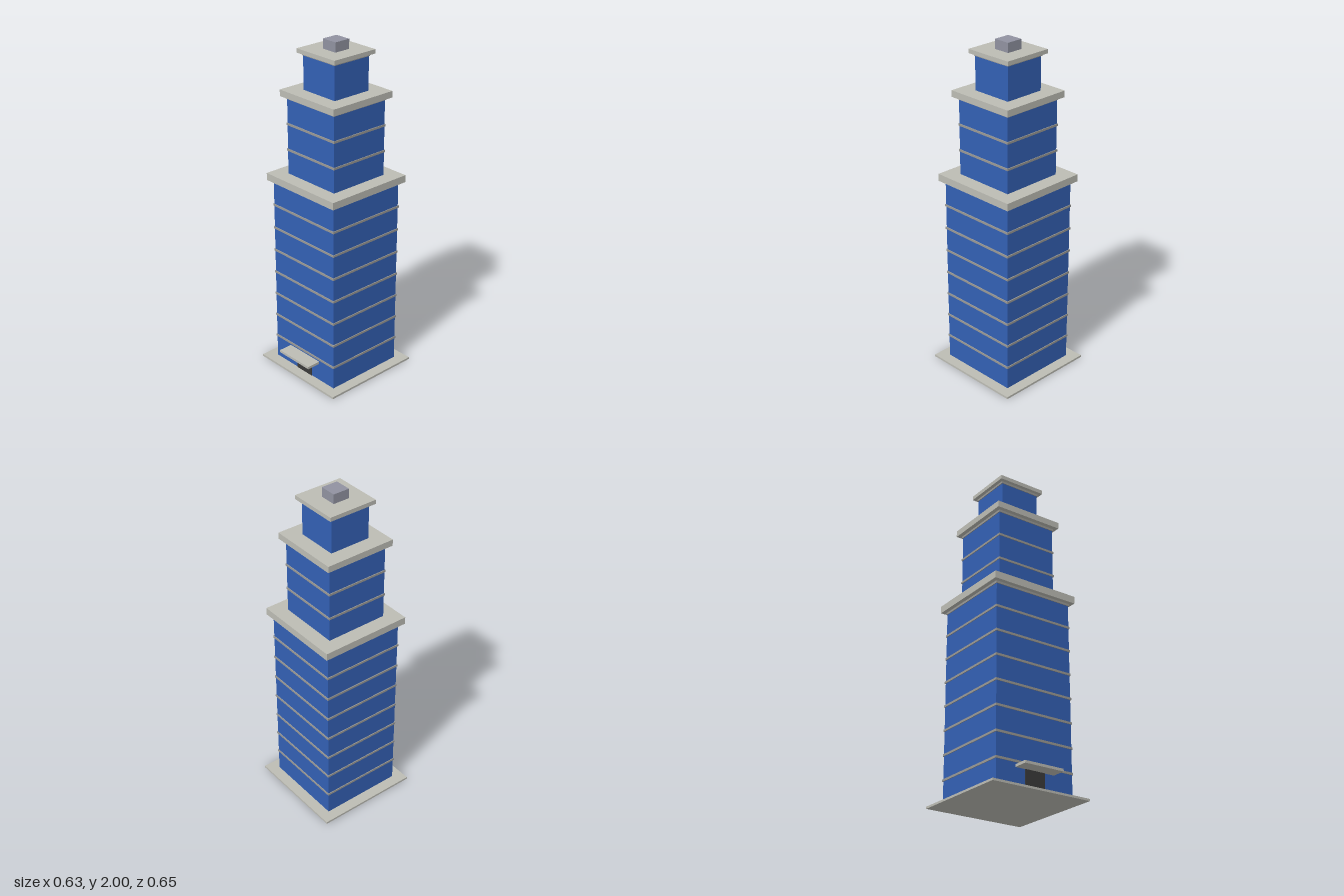
import * as THREE from 'three';

function material(name, color) {
  const m = new THREE.MeshStandardMaterial({ color });
  m.name = name;
  return m;
}

export function createModel() {
  const model = new THREE.Group();
  model.name = 'steppedTower';

  const glass = material('blueGlass', 0x3360b4);
  const concrete = material('paleConcrete', 0xbcbcb4);
  const trim = material('greyTrim', 0x999996);
  const metal = material('roofMetal', 0x9092a0);
  const dark = material('darkDoor', 0x3a3a3a);

  const CZ = -0.0115; // tower axis, set back to allow for the canopy

  // Box between heights y0 and y1
  function block(name, mat, width, depth, y0, y1, z = CZ) {
    const mesh = new THREE.Mesh(new THREE.BoxGeometry(width, y1 - y0, depth), mat);
    mesh.name = name;
    mesh.position.set(0, (y0 + y1) / 2, z);
    model.add(mesh);
  }

  // Ground slab
  block('baseSlab', concrete, 0.626, 0.626, 0, 0.0125);

  // Stepped tiers, each with floor bands and an overhanging roof slab
  const tiers = [
    { name: 'lower', w: 0.497, y0: 0.0125, y1: 1.17, roofW: 0.552, roofTop: 1.213, bands: 8, first: 0.154, step: 0.144 },
    { name: 'middle', w: 0.378, y0: 1.213, y1: 1.672, roofW: 0.434, roofTop: 1.71, bands: 3, first: 1.358, step: 0.153 },
    { name: 'upper', w: 0.25, y0: 1.71, y1: 1.92, roofW: 0.3, roofTop: 1.944, bands: 1, first: 1.913, step: 0 },
  ];
  for (const t of tiers) {
    block(t.name + 'Walls', glass, t.w, t.w, t.y0, t.y1);
    for (let i = 0; i < t.bands; i++) {
      const y = t.first + i * t.step;
      block(t.name + 'FloorBand', trim, t.w + 0.009, t.w + 0.009, y - 0.0065, y + 0.0065);
    }
    block(t.name + 'RoofSlab', concrete, t.roofW, t.roofW, t.y1, t.roofTop);
  }

  // Rooftop plant box
  block('roofBox', metal, 0.1, 0.1, 1.944, 2);

  // Entrance door and canopy
  const front = CZ + 0.497 / 2;
  block('door', dark, 0.126, 0.008, 0.0125, 0.125, front);
  block('canopy', concrete, 0.25, 0.322 - front, 0.122, 0.137, (front + 0.322) / 2);

  return model;
}
